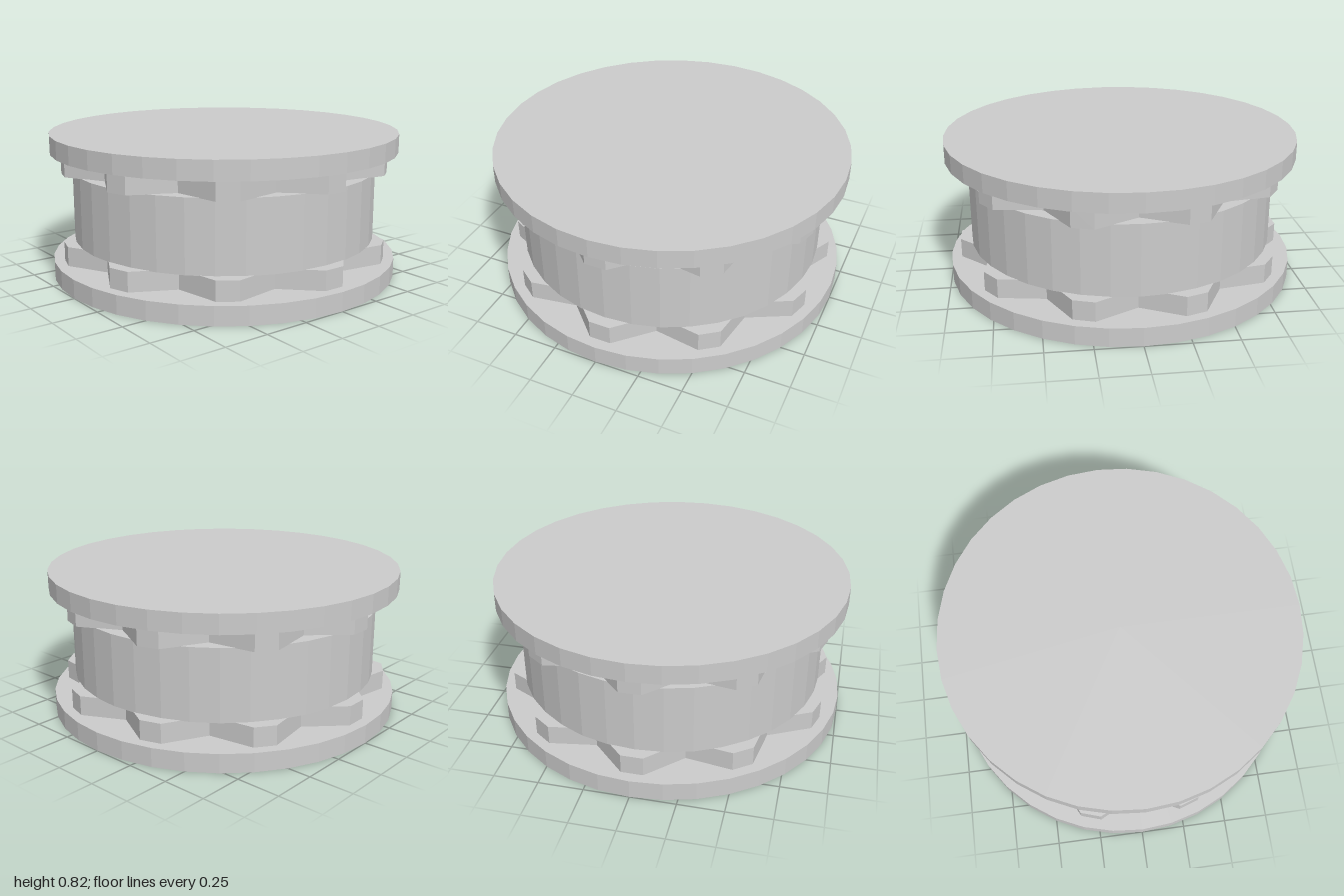
import * as THREE from 'three';

const material = new THREE.MeshStandardMaterial({ color: 0xcccccc, flatShading: true });

// 36-sided disc standing between two heights
function disc(name, radius, bottom, top) {
  const mesh = new THREE.Mesh(new THREE.CylinderGeometry(radius, radius, top - bottom, 36), material);
  mesh.position.y = (bottom + top) / 2;
  mesh.name = name;
  return mesh;
}

// Ten blunt teeth meeting in sharp valleys
function toothedWheel(name, bottom, top) {
  const teeth = 10, tipRadius = 0.94, rootRadius = 0.793, halfTip = 0.064;
  const step = (Math.PI * 2) / teeth;
  const points = [];
  const add = (r, a) => points.push(new THREE.Vector2(r * Math.cos(a), r * Math.sin(a)));
  for (let i = 0; i < teeth; i++) {
    const a = Math.PI / 2 + i * step;
    add(tipRadius, a - halfTip);
    add(tipRadius, a + halfTip);
    add(rootRadius, a + step / 2);
  }
  const geometry = new THREE.ExtrudeGeometry(new THREE.Shape(points), { depth: top - bottom, bevelEnabled: false });
  geometry.rotateX(-Math.PI / 2);
  const mesh = new THREE.Mesh(geometry, material);
  mesh.position.y = bottom;
  mesh.name = name;
  return mesh;
}

export function createModel() {
  const model = new THREE.Group();
  model.name = 'flangedDrum';
  model.add(
    disc('lowerFlange', 1, 0, 0.105),
    toothedWheel('lowerToothedWheel', 0.105, 0.215),
    disc('drum', 0.875, 0.213, 0.612),
    toothedWheel('upperToothedWheel', 0.61, 0.72),
    disc('upperFlange', 1, 0.72, 0.825),
  );
  return model;
}
